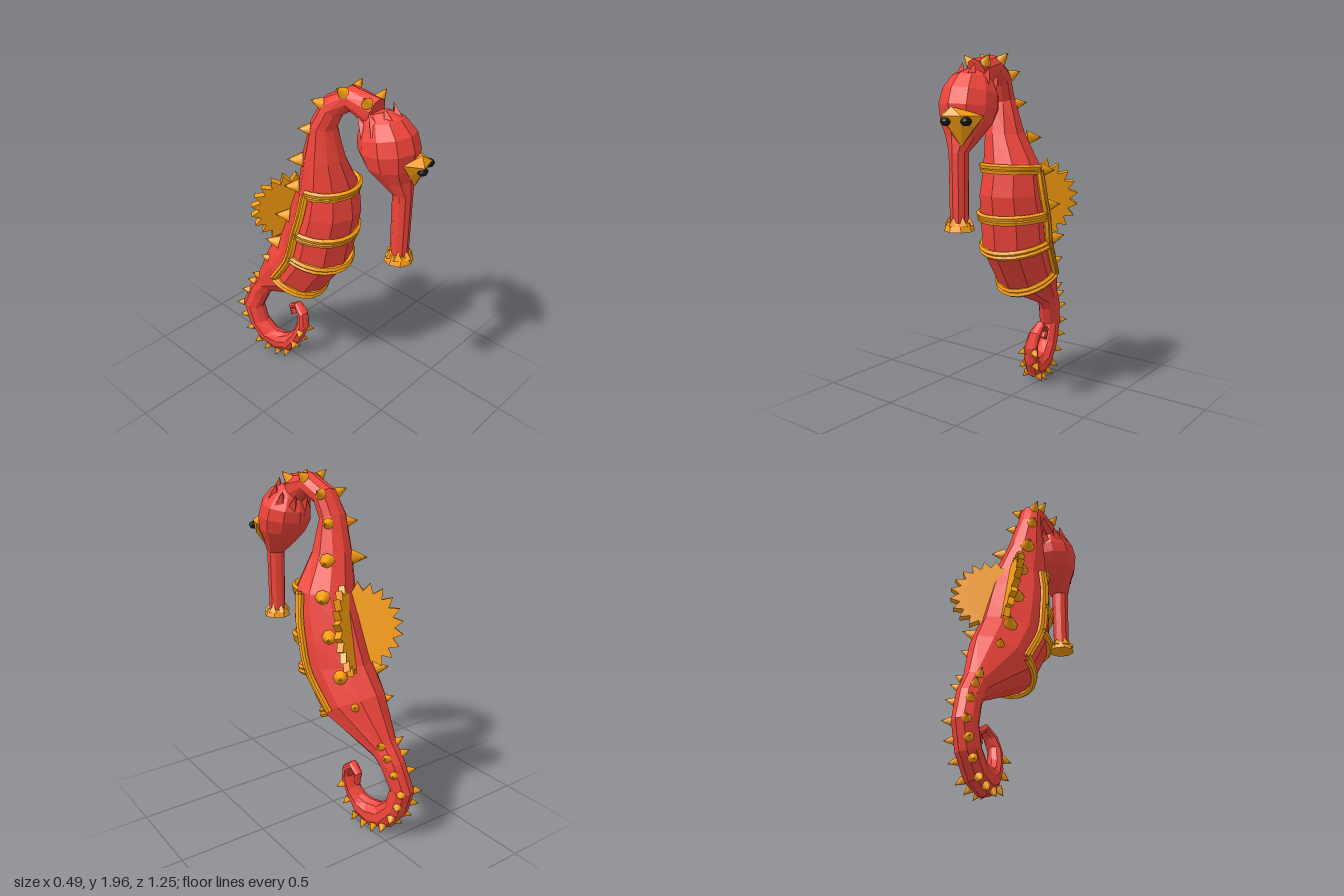
import * as THREE from 'three';
import { ConvexGeometry } from 'three/addons/geometries/ConvexGeometry.js';

const mat = (color, flatShading = true) => new THREE.MeshStandardMaterial({ color, flatShading });
const red = mat(0xf0443a), orange = mat(0xfb9f10), smoothOrange = mat(0xfb9f10, false), black = mat(0x1a1a1a);
const V = (x, y, z) => new THREE.Vector3(x, y, z);

// Sections from neck to tail tip: inner z, inner y, outer z, outer y, centre x, half width
const SPINE = [
  [.31, 1.80, .36, 1.96, .03, .06], [.20, 1.86, .19, 1.985, .02, .065],
  [.14, 1.82, .05, 1.91, -.01, .07], [.11, 1.74, -.01, 1.78, -.03, .08],
  [.15, 1.57, -.08, 1.58, -.015, .115], [.19, 1.39, -.15, 1.38, .03, .175],
  [.21, 1.24, -.20, 1.26, .025, .195], [.19, 1.11, -.24, 1.15, .02, .205],
  [.16, .91, -.29, 1.02, .01, .205], [-.01, .66, -.38, .87, -.01, .185],
  [-.38, .50, -.47, .63, -.04, .075], [-.42, .45, -.54, .52, -.055, .07],
  [-.46, .34, -.60, .35, -.08, .065], [-.43, .24, -.56, .20, -.075, .065],
  [-.37, .19, -.47, .08, -.06, .065], [-.30, .19, -.35, .03, -.04, .06],
  [-.26, .21, -.25, .06, -.02, .055], [-.23, .25, -.18, .17, 0, .05],
  [-.21, .32, -.15, .28, .02, .045], [-.23, .36, -.17, .38, .035, .04],
  [-.255, .385, -.24, .435, .04, .03], [-.28, .36, -.31, .385, .04, .025],
  [-.265, .33, -.30, .305, .04, .02],
];
const HEAD = [
  [.40, 1.91, .31, 1.88, .03, .05], [.48, 1.885, .27, 1.83, .04, .105],
  [.545, 1.82, .25, 1.76, .045, .142], [.572, 1.74, .26, 1.70, .045, .153],
  [.565, 1.65, .305, 1.635, .047, .138], [.555, 1.58, .37, 1.57, .05, .095],
  [.56, 1.50, .455, 1.50, .055, .052], [.56, 1.13, .46, 1.13, .055, .047],
];

// Point on a section list at fractional index s; angle 0 is the outer (back) side
function at(list, s, a, k = 1) {
  const i = Math.min(Math.floor(s), list.length - 2), t = s - i;
  const [iz, iy, oz, oy, x, w] = list[i].map((v, m) => v + (list[i + 1][m] - v) * t);
  const c = Math.cos(a), h = c * k / 2;
  // The wide trunk tapers towards the back
  const pinch = list === SPINE ? Math.max(0, w - .08) * 2.6 * Math.max(0, c) : 0;
  return V(x + w * k * Math.sin(a) * (1 - pinch), (iy + oy) / 2 + (oy - iy) * h, (iz + oz) / 2 + (oz - iz) * h);
}

function loft(list, sides) {
  const pos = [], idx = [], n = list.length;
  for (let i = 0; i < n; i++)
    for (let j = 0; j < sides; j++) pos.push(...at(list, i, j / sides * Math.PI * 2).toArray());
  pos.push(...at(list, 0, 0, 0).toArray(), ...at(list, n - 1, 0, 0).toArray());
  for (let j = 0; j < sides; j++) {
    const k = (j + 1) % sides, e = (n - 1) * sides;
    for (let i = 0; i < n - 1; i++) {
      const a = i * sides + j, b = i * sides + k;
      idx.push(a, b, a + sides, b, b + sides, a + sides);
    }
    idx.push(n * sides, k, j, n * sides + 1, e + j, e + k);
  }
  const g = new THREE.BufferGeometry();
  g.setAttribute('position', new THREE.Float32BufferAttribute(pos, 3));
  g.setIndex(idx);
  const flat = g.toNonIndexed();
  flat.computeVertexNormals();
  return flat;
}

export function createModel() {
  const model = new THREE.Group();
  const add = (name, geo, m, parent = model) => {
    const mesh = new THREE.Mesh(geo, m);
    mesh.name = name;
    parent.add(mesh);
    return mesh;
  };
  const group = (name) => {
    const g = new THREE.Group();
    g.name = name;
    model.add(g);
    return g;
  };
  // Cone whose base sits on p and points along dir
  const cone = (name, p, dir, r, h, m, parent, sides) => {
    const c = add(name, new THREE.ConeGeometry(r, h, sides).translate(0, h / 2, 0), m, parent);
    c.position.copy(p);
    c.quaternion.setFromUnitVectors(V(0, 1, 0), dir.clone().normalize());
  };

  add('bodyAndTail', loft(SPINE, 10), red);
  add('headAndSnout', loft(HEAD, 10), red);

  // Red collar of spikes behind the head
  const collar = group('headCollar');
  const axis = V(0, .88, -.47), side = V(1, 0, 0), up = V(0, .47, .88);
  for (let i = 0; i < 8; i++) {
    const a = (i + .5) / 8 * Math.PI * 2;
    const out = side.clone().multiplyScalar(Math.cos(a)).addScaledVector(up, Math.sin(a));
    const p = V(.04, 1.80, .375).addScaledVector(out, .088);
    cone('collarSpike', p, axis.clone().addScaledVector(out, .12), .045, .11, red, collar, 4);
  }

  // Mouth flare with a small crown
  const mouth = group('mouth');
  add('mouthRim', new THREE.CylinderGeometry(.062, .078, .045, 8).translate(.055, 1.13, .51), orange, mouth);
  for (let i = 0; i < 6; i++) {
    const a = (i + .5) / 6 * Math.PI * 2, x = Math.cos(a), z = Math.sin(a);
    cone('mouthPoint', V(.055 + x * .05, 1.135, .51 + z * .05), V(-x * .1, 1, -z * .1), .032, .05, orange, mouth, 4);
  }

  // Face mask, turned slightly to the left, and eyes
  add('faceMask', new ConvexGeometry([
    V(-.015, 1.69, .55), V(.195, 1.68, .48), V(.05, 1.68, .63), V(.15, 1.68, .6), V(.08, 1.725, .59),
    V(.1, 1.53, .54), V(.03, 1.62, .56), V(.17, 1.62, .53), V(.08, 1.65, .48),
  ]), orange);
  for (const [x, z] of [[.062, .61], [.16, .575]]) {
    const eye = add('eye', new THREE.SphereGeometry(.028, 8, 6), black);
    eye.position.set(x, 1.655, z);
    eye.scale.y = .8;
  }

  // Two rows of spikes down the back
  const spikes = group('backSpikes');
  const stations = [.2, 1.1, 2.1, 3.2, 4.15, 5.1, 6.8, 8.25, 9.1, 10, 10.6, 11.3, 12, 12.6, 13.3, 14, 14.6, 15.3, 16, 16.8, 17.7];
  for (const s of stations)
    for (const sgn of [-1, 1]) {
      const p = at(SPINE, s, sgn * .85, .95), dir = p.clone().sub(at(SPINE, s, 0, 0));
      const [r, h] = s < 4 ? [.031, .062] : s < 9 ? [.042, .085] : [.024, .05];
      cone('backSpike', p, dir, r, h, smoothOrange, spikes, 8);
    }

  // Doubled rope ribs around the belly and down both sides
  const ribs = group('bellyRibs');
  const rope = (pts, off) => {
    for (const k of [-1, 1]) {
      const curve = new THREE.CatmullRomCurve3(pts.map((p) => p.clone().addScaledVector(off, k)));
      add('rib', new THREE.TubeGeometry(curve, 12, .016, 5), orange, ribs);
    }
  };
  for (const s of [5, 7, 8, 9]) {
    const pts = [];
    for (let i = 0; i <= 10; i++) pts.push(at(SPINE, s, Math.PI * (.5 + i / 10), 1.01));
    rope(pts, V(0, .012, .003));
  }
  for (const sgn of [-1, 1])
    rope([5, 6, 7, 8, 9].map((s) => at(SPINE, s, sgn * Math.PI / 2, 1.01)), V(0, .004, .013));

  // Toothed half-disc fins
  const shape = new THREE.Shape();
  const teeth = 11;
  shape.moveTo(-.04, -.2);
  for (let i = 0; i <= teeth * 2; i++) {
    const a = -Math.PI / 2 + i / (teeth * 2) * Math.PI, r = i % 2 ? .25 : .2;
    shape.lineTo(r * Math.cos(a), r * Math.sin(a));
  }
  shape.lineTo(-.04, .2);
  const finGeo = new THREE.ExtrudeGeometry(shape, { depth: .035, bevelEnabled: false }).translate(0, 0, -.0175);
  for (const [name, x, z, yaw] of [['leftFin', .03, -.19, .68], ['rightFin', -.04, -.165, Math.PI - .65]]) {
    const fin = add(name, finGeo, orange);
    fin.position.set(x, 1.19, z);
    fin.rotation.set(.25, yaw, 0);
  }
  return model;
}
